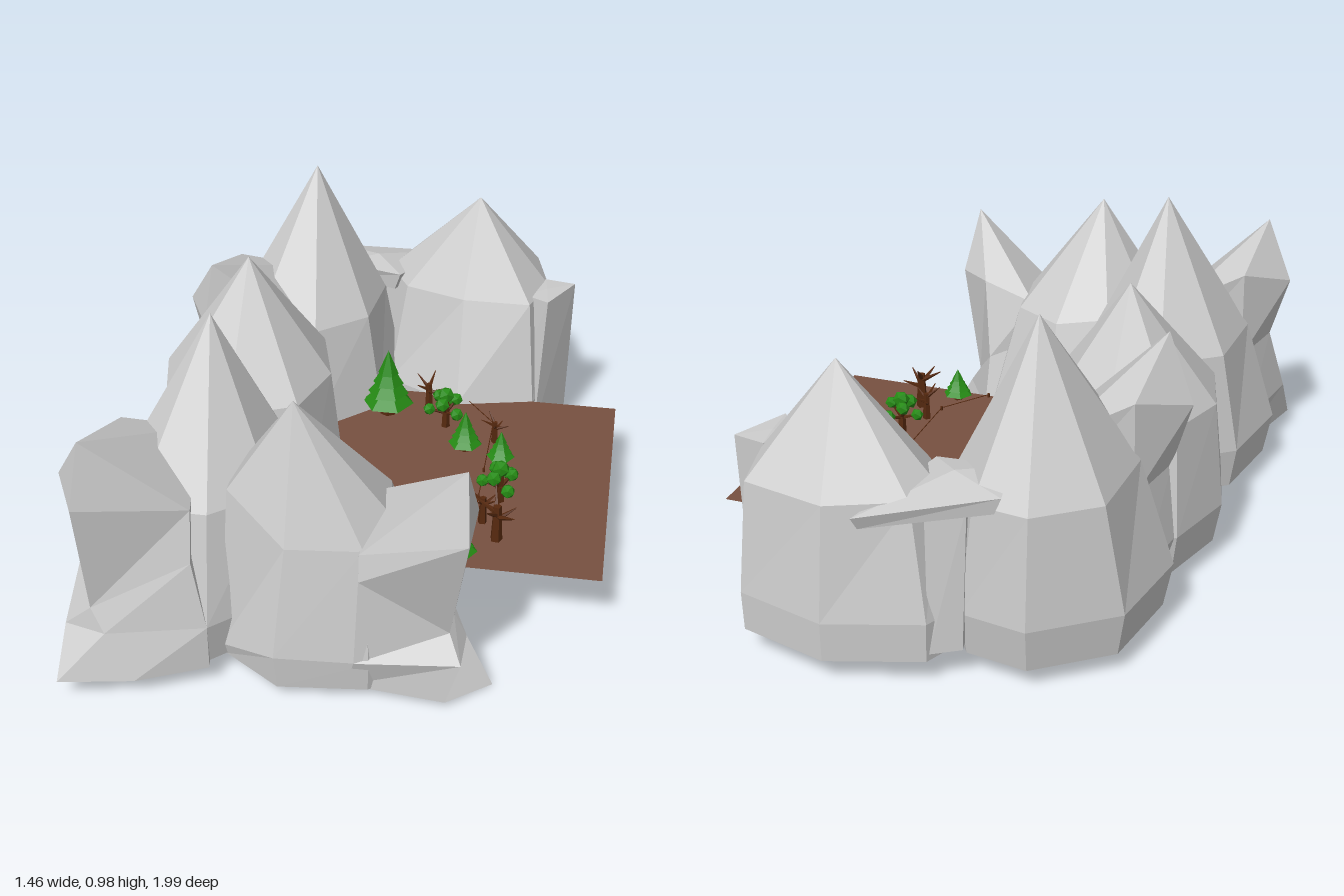
import * as THREE from 'three';

const mat = (color) => new THREE.MeshStandardMaterial({ color, flatShading: true, side: THREE.DoubleSide });
const stone = mat(0xcccccc), soil = mat(0x775040), leaf = mat(0x258a14), bark = mat(0x56290f);
const GROUND = 0.2;

function add(parent, name, geometry, material, x = 0, y = 0, z = 0) {
  const m = new THREE.Mesh(geometry, material);
  m.name = name;
  m.position.set(x, y, z);
  parent.add(m);
  return m;
}

// Faceted rock: rings of equal length, counterclockwise from above, closed by a floor and a peak
function loft(rings, apex) {
  const out = [], n = rings[0].length;
  const floor = [0, 1, 2].map((k) => rings[0].reduce((s, p) => s + p[k], 0) / n);
  const tri = (a, b, c) => out.push(...a, ...b, ...c);
  const top = rings[rings.length - 1];
  for (let i = 0; i < n; i++) {
    const j = (i + 1) % n;
    tri(floor, rings[0][j], rings[0][i]);
    for (let r = 0; r < rings.length - 1; r++) {
      const a = rings[r], b = rings[r + 1];
      tri(a[i], a[j], b[j]);
      tri(a[i], b[j], b[i]);
    }
    tri(top[i], top[j], apex);
  }
  const g = new THREE.BufferGeometry();
  g.setAttribute('position', new THREE.Float32BufferAttribute(out, 3));
  g.computeVertexNormals();
  return g;
}

// Peak with an undercut foot, a wide waist and a narrower shoulder
function peak(waist, shoulder, [cx, cz], [baseY, baseScale], shoulderY, apex) {
  const at = (ring, y, s = 1) => ring.map(([x, z]) => [cx + (x - cx) * s, y, cz + (z - cz) * s]);
  return loft([at(waist, baseY, baseScale), at(waist, 0.2), at(shoulder, shoulderY)], apex);
}

// Tall peak with a leaning horn, used twice
function sidePeak() {
  const g = new THREE.Group();
  g.name = 'sidePeak';
  const waist = [[-0.135, 0.67], [-0.1, 0.42], [-0.25, 0.21], [-0.445, 0.18],
    [-0.67, 0.35], [-0.73, 0.65], [-0.56, 0.86], [-0.33, 0.86]];
  const shoulder = [[-0.18, 0.66], [-0.16, 0.43], [-0.28, 0.23], [-0.44, 0.21],
    [-0.61, 0.34], [-0.63, 0.62], [-0.53, 0.79], [-0.33, 0.79]];
  add(g, 'peakBody', peak(waist, shoulder, [-0.4, 0.5], [0.065, 0.93], 0.53, [-0.375, 0.98, 0.49]), stone);
  add(g, 'peakHorn', loft([
    [[-0.33, 0.06, 0.86], [-0.4, 0.06, 0.55], [-0.62, 0.06, 0.6], [-0.73, 0.06, 0.99], [-0.52, 0.06, 0.95]],
    [[-0.33, 0.2, 0.86], [-0.4, 0.22, 0.5], [-0.66, 0.2, 0.6], [-0.72, 0.2, 0.9], [-0.6, 0.2, 0.93]],
    [[-0.37, 0.4, 0.84], [-0.4, 0.42, 0.5], [-0.62, 0.42, 0.6], [-0.67, 0.42, 0.83], [-0.64, 0.27, 0.91]],
    [[-0.37, 0.555, 0.81], [-0.42, 0.62, 0.5], [-0.61, 0.7, 0.61], [-0.73, 0.63, 0.8], [-0.65, 0.615, 0.95]],
  ], [-0.63, 0.8, 0.9]), stone);
  return g;
}

function frontPeak() {
  const g = new THREE.Group();
  g.name = 'frontPeak';
  const low = [[0.28, 0.14, 0.72], [0.21, 0.14, 0.44], [-0.03, 0.13, 0.31], [-0.18, 0.12, 0.35],
    [-0.3, 0.1, 0.55], [-0.31, 0.1, 0.8], [-0.14, 0.145, 0.89], [0.12, 0.135, 0.86]];
  const base = low.map(([x, y, z]) => [x * 0.96, y > 0.11 ? 0.035 : 0.06, 0.6 + (z - 0.6) * 0.96]);
  const high = [[0.16, 0.52, 0.7], [0.13, 0.52, 0.53], [-0.03, 0.52, 0.43], [-0.2, 0.55, 0.45],
    [-0.3, 0.56, 0.6], [-0.28, 0.6, 0.76], [-0.11, 0.48, 0.84], [0.1, 0.48, 0.815]];
  add(g, 'peakBody', loft([base, low, high], [-0.1, 0.87, 0.72]), stone);
  add(g, 'peakHorn', loft([
    [[0.45, 0, 0.73], [0.24, 0.05, 0.48], [0.05, 0.04, 0.6], [0.05, 0.035, 0.84], [0.33, 0.02, 0.85]],
    [[0.37, 0.14, 0.7], [0.24, 0.15, 0.48], [0.05, 0.15, 0.6], [0.08, 0.14, 0.87], [0.37, 0.15, 0.845]],
    [[0.33, 0.2, 0.68], [0.24, 0.32, 0.53], [0.05, 0.4, 0.6], [0.09, 0.4, 0.845], [0.33, 0.2, 0.77]],
    [[0.39, 0.565, 0.69], [0.28, 0.57, 0.6], [0.1, 0.52, 0.58], [0.09, 0.48, 0.83], [0.385, 0.565, 0.865]],
  ], [0.37, 0.755, 0.8]), stone);
  return g;
}

function pine(parent, x, z, r, h) {
  const g = new THREE.Group();
  g.name = 'pineTree';
  g.position.set(x, GROUND, z);
  add(g, 'trunk', new THREE.CylinderGeometry(r * 0.3, r * 0.35, h * 0.3, 6), bark, 0, h * 0.1, 0);
  for (let i = 0; i < 4; i++) {
    add(g, 'needles', new THREE.ConeGeometry(r * (1 - i * 0.2), h * 0.36, 6), leaf, 0, h * (0.36 + i * 0.155), 0)
      .rotation.y = Math.PI / 6;
  }
  parent.add(g);
}

// Tapered stick between two points
function stick(parent, name, a, b, r0, r1) {
  const from = new THREE.Vector3(...a), dir = new THREE.Vector3(...b).sub(from);
  const m = add(parent, name, new THREE.CylinderGeometry(r1, r0, dir.length(), 5), bark);
  m.position.copy(from).addScaledVector(dir, 0.5);
  m.quaternion.setFromUnitVectors(new THREE.Vector3(0, 1, 0), dir.normalize());
}

function roundTree(parent, x, z, turn) {
  const g = new THREE.Group();
  g.name = 'roundTree';
  g.position.set(x, GROUND, z);
  g.rotation.y = turn;
  stick(g, 'trunk', [0, -0.01, 0], [0, 0.1, 0], 0.015, 0.01);
  for (let i = 0; i < 6; i++) {
    const a = i * Math.PI / 3, d = i % 2 ? 0.055 : 0.035, y = i % 2 ? 0.07 : 0.1;
    const p = [Math.cos(a) * d, y, Math.sin(a) * d];
    stick(g, 'branch', [0, 0.05, 0], p, 0.006, 0.004);
    add(g, 'foliage', new THREE.IcosahedronGeometry(0.021 + (i % 3) * 0.002), leaf, ...p);
  }
  add(g, 'foliage', new THREE.IcosahedronGeometry(0.028), leaf, 0, 0.118, 0);
  parent.add(g);
}

function deadTree(parent, x, z, h, turn) {
  const g = new THREE.Group();
  g.name = 'deadTree';
  g.position.set(x, GROUND, z);
  g.rotation.y = turn;
  stick(g, 'trunk', [0, -0.01, 0], [0, h * 0.75, 0], h * 0.12, h * 0.08);
  for (let i = 0; i < 5; i++) {
    const a = i * 1.257, reach = h * (0.38 + 0.08 * (i % 2));
    stick(g, 'bareBranch', [0, h * (0.45 + 0.05 * i), 0],
      [Math.cos(a) * reach, h * (0.62 + 0.09 * i), Math.sin(a) * reach], h * 0.06, h * 0.01);
  }
  parent.add(g);
}

export function createModel() {
  const model = new THREE.Group();
  model.name = 'mountainClearing';

  // Flat clearing
  const clearing = new THREE.Shape([[0.73, -0.48], [0.73, 0.47], [0.2, 0.47], [-0.18, 0.28],
    [-0.18, -0.25], [-0.03, -0.48]].map(([x, z]) => new THREE.Vector2(x, -z)));
  add(model, 'ground', new THREE.ShapeGeometry(clearing).rotateX(-Math.PI / 2), soil, 0, GROUND, 0);

  // Ring of peaks
  model.add(sidePeak());
  const rear = sidePeak();
  rear.position.set(0.085, 0, -1.04);
  model.add(rear, frontPeak());
  const middle = [[-0.11, 0], [-0.18, -0.26], [-0.4, -0.34], [-0.62, -0.25],
    [-0.7, -0.01], [-0.64, 0.25], [-0.4, 0.36], [-0.18, 0.25]];
  const middleTop = middle.map(([x, z]) => [-0.4 + (x + 0.4) * 0.88, z * 0.82]);
  add(model, 'middlePeak', peak(middle, middleTop, [-0.4, 0], [0.07, 0.93], 0.53, [-0.4, 0.89, -0.04]), stone);
  const back = [[0.54, -0.7], [0.44, -0.93], [0.17, -1], [-0.1, -0.91],
    [-0.17, -0.76], [-0.05, -0.55], [0.2, -0.42], [0.45, -0.48]];
  const backTop = [[0.47, -0.7], [0.42, -0.9], [0.17, -0.955], [-0.04, -0.86],
    [-0.08, -0.75], [0, -0.61], [0.2, -0.54], [0.42, -0.54]];
  add(model, 'backPeak', peak(back, backTop, [0.2, -0.7], [0.08, 0.99], 0.535, [0.23, 0.84, -0.7]), stone);

  // Shoulder rock, and the plank of stone wedged between the rear peaks with its foot
  add(model, 'shoulderRock', loft([
    [[0.55, 0.08, -0.68], [0.4, 0.08, -0.8], [0.35, 0.08, -0.6], [0.46, 0.08, -0.48]],
    [[0.56, 0.55, -0.69], [0.46, 0.55, -0.71], [0.4, 0.54, -0.6], [0.48, 0.555, -0.53]],
  ], [0.47, 0.555, -0.63]), stone);
  add(model, 'wedgedFoot', loft([
    [[-0.08, 0.1, -0.84], [-0.1, 0.1, -0.9], [-0.18, 0.1, -0.85], [-0.15, 0.1, -0.7]],
    [[-0.07, 0.52, -0.76], [-0.08, 0.52, -0.86], [-0.18, 0.52, -0.81], [-0.16, 0.52, -0.64]],
  ], [-0.1, 0.56, -0.74]), stone);
  add(model, 'wedgedPlank', loft([
    [[-0.05, 0.5, -0.65], [0.08, 0.47, -0.93], [-0.26, 0.52, -0.82], [-0.24, 0.52, -0.68]],
    [[-0.03, 0.56, -0.64], [0.09, 0.51, -0.95], [-0.28, 0.57, -0.82], [-0.25, 0.58, -0.66]],
  ], [-0.12, 0.585, -0.74]), stone);

  // Low rails along the clearing, mirrored front to back
  const rail = [[0.22, -0.46], [0.335, -0.31], [0.335, -0.03]];
  for (const s of [1, -1]) {
    rail.forEach(([x, z], i) => {
      stick(model, 'railPost', [x, GROUND, z * s], [x, GROUND + 0.014, z * s], 0.004, 0.004);
      if (i) {
        const [px, pz] = rail[i - 1];
        stick(model, 'rail', [px, GROUND + 0.009, pz * s], [x, GROUND + 0.009, z * s], 0.0015, 0.0015);
      }
    });
  }

  // Trees: position, then size or turn
  [[-0.02, -0.335, 0.085, 0.235], [0.26, -0.15, 0.055, 0.14], [0.38, -0.1, 0.045, 0.11],
    [-0.02, 0.26, 0.05, 0.12], [0.315, 0.415, 0.05, 0.11]].forEach((p) => pine(model, ...p));
  [[0.18, -0.28, 0.3], [-0.09, 0.15, 1.2], [0.4, 0.12, 0]].forEach((p) => roundTree(model, ...p));
  [[0.11, -0.39, 0.12, 0], [0.35, -0.21, 0.1, 1], [0.36, 0.24, 0.12, 2], [0.41, 0.32, 0.16, 0.5]]
    .forEach((p) => deadTree(model, ...p));
  return model;
}
